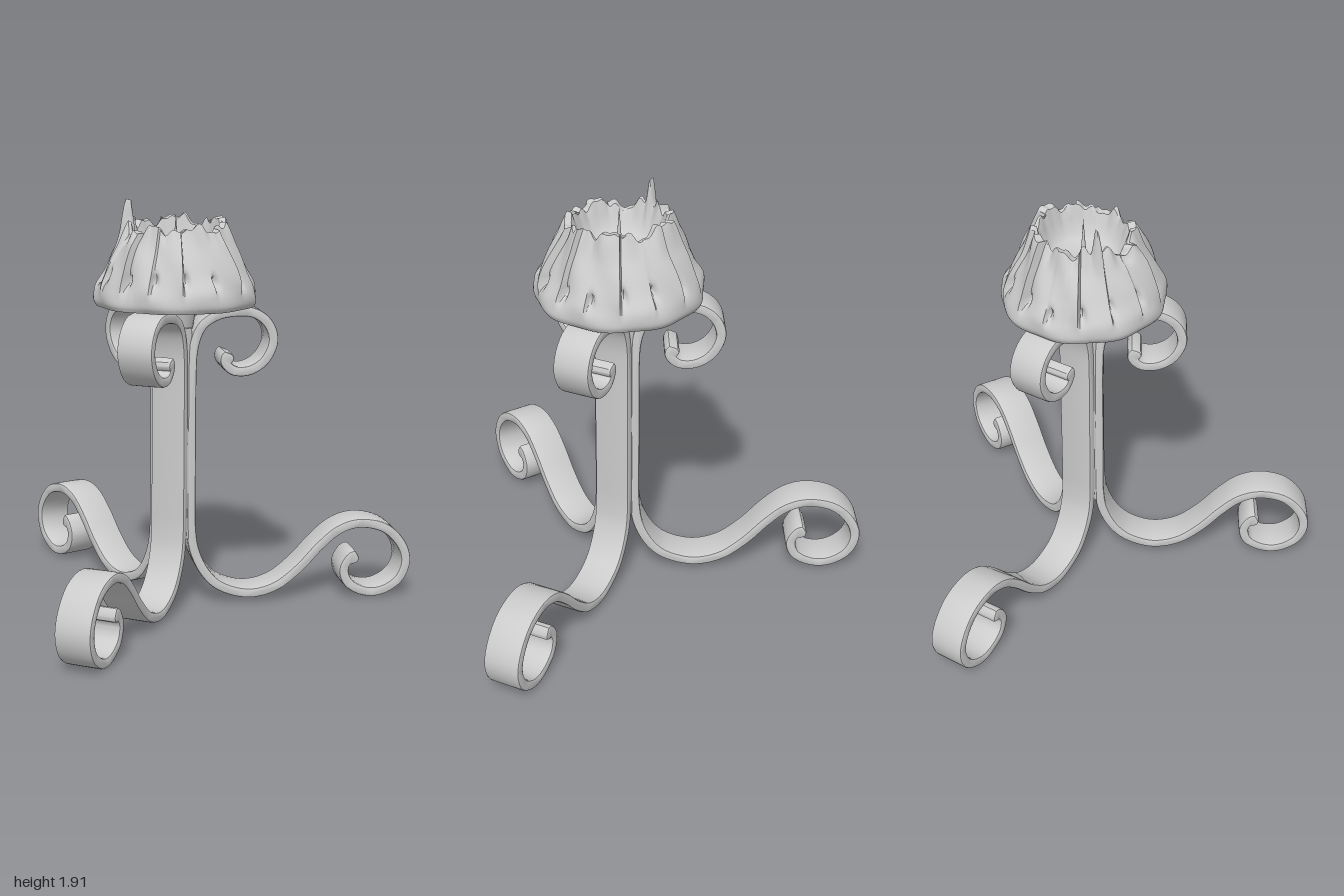
import * as THREE from 'three';
import { toCreasedNormals } from 'three/addons/utils/BufferGeometryUtils.js';

const material = new THREE.MeshStandardMaterial({ color: 0xcccccc, side: THREE.DoubleSide });
const deg = Math.PI / 180;

// Centre line of one strap (radius, height): top curl, column, foot, bottom scroll
const strapPath = [
  [0.24, 1.2], [0.225, 1.165], [0.265, 1.127], [0.34, 1.128], [0.41, 1.175], [0.447, 1.26],
  [0.425, 1.34], [0.36, 1.393], [0.27, 1.402], [0.18, 1.385], [0.11, 1.335], [0.074, 1.24],
  [0.065, 1.1], [0.065, 0.8], [0.065, 0.5], [0.068, 0.37], [0.085, 0.265], [0.135, 0.16],
  [0.215, 0.085], [0.335, 0.047], [0.46, 0.075], [0.57, 0.16], [0.665, 0.265], [0.755, 0.342],
  [0.855, 0.372], [0.97, 0.347], [1.05, 0.27], [1.08, 0.18], [1.05, 0.09], [0.97, 0.035],
  [0.885, 0.033], [0.81, 0.075], [0.785, 0.14], [0.805, 0.19], [0.842, 0.208],
];

// Flat bar: the path thickened to an outline, then extruded to its width
function strapGeometry(stretch) {
  const pts = strapPath.map(([r, y]) => new THREE.Vector2(y < 0.4 && r > 0.3 ? r * stretch : r, y));
  const curve = new THREE.SplineCurve(pts);
  const n = 200, bevel = 0.01, sideA = [], sideB = [];
  for (let i = 0; i <= n; i++) {
    const t = i / n, p = curve.getPoint(t), d = curve.getTangent(t);
    const end = Math.min(t, 1 - t);
    const half = 0.013 + 0.009 * Math.exp(-Math.pow((end - 0.012) / 0.014, 2));
    const h = end < 0.004 ? half * 0.6 : half;
    sideA.push(new THREE.Vector2(p.x - d.y * h, p.y + d.x * h));
    sideB.push(new THREE.Vector2(p.x + d.y * h, p.y - d.x * h));
  }
  const shape = new THREE.Shape(sideA.concat(sideB.reverse()));
  const g = new THREE.ExtrudeGeometry(shape, {
    depth: 0.148, bevelEnabled: true, bevelThickness: bevel, bevelSize: bevel, bevelSegments: 2,
  });
  g.translate(0, 0, -0.074);
  return toCreasedNormals(g, 0.75);
}

const smooth = (a, b, v) => THREE.MathUtils.smoothstep(v, a, b);
const bump = (v, c, w) => Math.exp(-Math.pow((v - c) / w, 2));

// Ragged rim: uneven wave, raised back and one tall thorn at front left
function rimHeight(a) {
  const jag = 0.012 * Math.sin(7 * a + 1) + 0.01 * Math.sin(13 * a) + 0.008 * Math.sin(23 * a + 2);
  return jag + 0.03 * bump(Math.abs(a), 2.5, 0.5) + 0.13 * bump(a, -1.07, 0.07)
    + 0.04 * bump(a, -1.3, 0.1) - 0.03 * bump(a, -0.5, 0.2);
}

// Pleated cup: a lathe whose wall is moved in overlapping petals
function cupGeometry() {
  const outer = new THREE.SplineCurve([
    [0.36, 1.432], [0.373, 1.46], [0.366, 1.51], [0.335, 1.575], [0.3, 1.65], [0.262, 1.72], [0.225, 1.79],
  ].map(p => new THREE.Vector2(...p))).getPoints(28);
  const profile = [
    new THREE.Vector2(0, 1.425), new THREE.Vector2(0.18, 1.425), new THREE.Vector2(0.33, 1.43), ...outer,
    ...[[0.205, 1.785], [0.19, 1.74], [0.175, 1.69], [0.15, 1.66], [0.08, 1.645], [0, 1.64]]
      .map(p => new THREE.Vector2(...p)),
  ];
  const g = new THREE.LatheGeometry(profile, 240);
  const pos = g.attributes.position, petals = 15;
  for (let i = 0; i < pos.count; i++) {
    const x = pos.getX(i), y = pos.getY(i), z = pos.getZ(i), r = Math.hypot(x, z);
    if (r < 1e-6) continue;
    const a = Math.atan2(x, z);
    const f = a / (2 * Math.PI) * petals + petals + 0.37, k = Math.floor(f) % petals, u = f - Math.floor(f);
    const row = i % profile.length;
    const wall = row >= 3 && row < 3 + outer.length ? 1 : 0;
    const lip = 0.015 * Math.sin(k * 2.4);
    // petal slope, alternating depth and a small pit beside each seam
    let dr = wall * smooth(1.48, 1.56, y) * (0.024 * (u - 0.5) + lip * smooth(1.5, 1.6, y));
    dr -= wall * 0.035 * bump(u, 0.12, 0.1) * bump(y, 1.565 + 0.015 * Math.sin(k), 0.025);
    dr += wall * 0.006 * Math.sin(9 * a + y * 20);
    const s = (r + dr) / r;
    pos.setXYZ(i, x * s, y + rimHeight(a) * smooth(1.7, 1.79, y), z * s);
  }
  return toCreasedNormals(g, 0.8);
}

export function createModel() {
  const model = new THREE.Group();
  const stand = new THREE.Group();
  stand.name = 'candleStand';
  stand.position.set(0.1, 0, -0.135);
  model.add(stand);
  const add = (name, geometry, y = 0) => {
    const mesh = new THREE.Mesh(geometry, material);
    mesh.name = name;
    mesh.position.y = y;
    stand.add(mesh);
    return mesh;
  };

  // Three scrolled straps around the column
  const legs = [['frontStrap', 11.3, 1], ['backLeftStrap', 132.5, 1.035], ['backRightStrap', 249.5, 1.035]];
  for (const [name, angle, stretch] of legs) {
    add(name, strapGeometry(stretch)).rotation.y = (angle - 90) * deg;
  }

  // Core filling the column between the straps
  const corners = [];
  for (const [, angle] of legs) {
    const a = (angle - 90) * deg;
    for (const side of [-0.076, 0.076]) {
      corners.push(new THREE.Vector2(
        0.066 * Math.cos(a) - side * Math.sin(a),
        0.066 * Math.sin(a) + side * Math.cos(a),
      ));
    }
  }
  const coreGeometry = new THREE.ExtrudeGeometry(new THREE.Shape(corners), { depth: 1, bevelEnabled: false });
  coreGeometry.rotateX(-Math.PI / 2);
  add('columnCore', coreGeometry, 0.33);

  // Neck joining the column to the cup
  add('neck', new THREE.CylinderGeometry(0.1, 0.075, 0.14, 24), 1.36);

  // Cup with its candle spike
  add('cup', cupGeometry());
  add('spike', new THREE.ConeGeometry(0.016, 0.22, 12), 1.74);

  return model;
}
